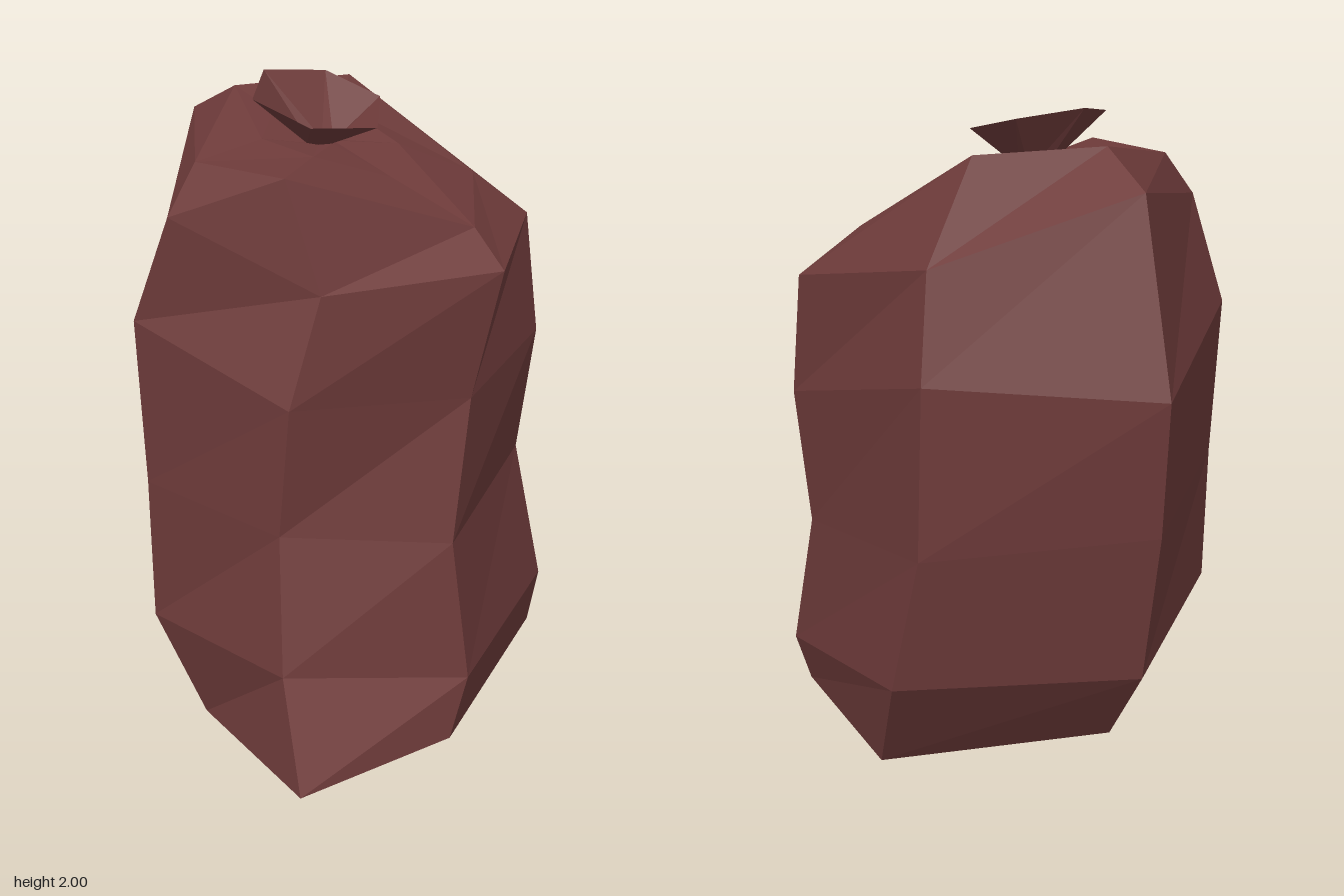
import * as THREE from 'three';

// Every ring has six corners, in the order: back, back left, front left, front, front right, back right.
const SIDES = 6;

// Flat-shaded skin through a stack of rings (bottom to top), closed below by a fan.
function skin(rings, bottomCentre) {
  const pos = [];
  const tri = (a, b, c) => pos.push(...a, ...b, ...c);
  for (let i = 0; i < SIDES; i++) {
    const j = (i + 1) % SIDES;
    tri(bottomCentre, rings[0][i], rings[0][j]);
    for (let r = 0; r < rings.length - 1; r++) {
      const lo = rings[r], up = rings[r + 1];
      tri(lo[j], lo[i], up[i]);
      tri(lo[j], up[i], up[j]);
    }
  }
  const g = new THREE.BufferGeometry();
  g.setAttribute('position', new THREE.Float32BufferAttribute(pos, 3));
  g.computeVertexNormals();
  return g;
}

// Sack wall, from the sagging base with its pulled-out corner up to the shoulder
const wall = [
  [[0.11, 0.04, -0.43], [0.72, 0, -0.03], [0.62, 0.08, 0.47], [-0.25, 0.06, 0.74], [-0.82, 0.05, 0.6], [-0.53, 0.04, 0]],
  [[0.155, 0.31, -0.62], [0.82, 0.34, -0.22], [0.67, 0.24, 0.48], [-0.14, 0.22, 0.73], [-0.66, 0.32, 0.41], [-0.55, 0.33, -0.19]],
  [[0.16, 0.8, -0.7], [0.79, 0.78, -0.32], [0.66, 0.68, 0.38], [-0.12, 0.64, 0.65], [-0.56, 0.72, 0.32], [-0.56, 0.78, -0.2]],
  [[0.17, 1.24, -0.74], [0.775, 1.32, -0.33], [0.67, 1.1, 0.44], [0.01, 1.07, 0.62], [-0.55, 1.12, 0.35], [-0.575, 1.3, -0.23]],
  [[0.09, 1.82, -0.54], [0.69, 1.64, -0.26], [0.67, 1.49, 0.39], [0.07, 1.47, 0.69], [-0.435, 1.45, 0.38], [-0.56, 1.64, -0.1]],
];

// Sloping top, gathered towards the neck
const crown = [
  [[0.05, 1.92, -0.335], [0.43, 1.92, -0.16], [0.51, 1.64, 0.28], [0.1, 1.58, 0.56], [-0.44, 1.785, 0.25], [-0.44, 1.79, -0.09]],
  [[0.03, 1.86, -0.16], [0.25, 1.86, -0.06], [0.26, 1.76, 0.16], [0.07, 1.7, 0.27], [-0.17, 1.79, 0.15], [-0.17, 1.82, -0.05]],
];

// Tiny ring where the sack is tied
const neck = Array.from({ length: SIDES }, (_, i) => {
  const a = (i / SIDES) * Math.PI * 2;
  return [0.015 + 0.045 * Math.sin(a), 1.79, 0.035 - 0.045 * Math.cos(a)];
});

// Flared, tilted rim above the tie
const rim = [[-0.02, 2, -0.16], [0.18, 1.98, -0.07], [0.185, 1.92, 0.14], [0, 1.865, 0.265], [-0.21, 1.885, 0.17], [-0.22, 1.95, -0.045]];

export function createModel() {
  const group = new THREE.Group();
  group.name = 'tiedSack';
  const cloth = new THREE.MeshStandardMaterial({ color: 0x6e3b3a, side: THREE.DoubleSide, flatShading: true });
  cloth.name = 'reddish brown cloth';

  const add = (name, geometry) => {
    const mesh = new THREE.Mesh(geometry, cloth);
    mesh.name = name;
    group.add(mesh);
  };
  add('sackBody', skin([...wall, ...crown, neck], [0, 0.045, 0.2]));
  add('tiedMouth', skin([neck, rim], [0.015, 1.78, 0.035]));
  return group;
}
